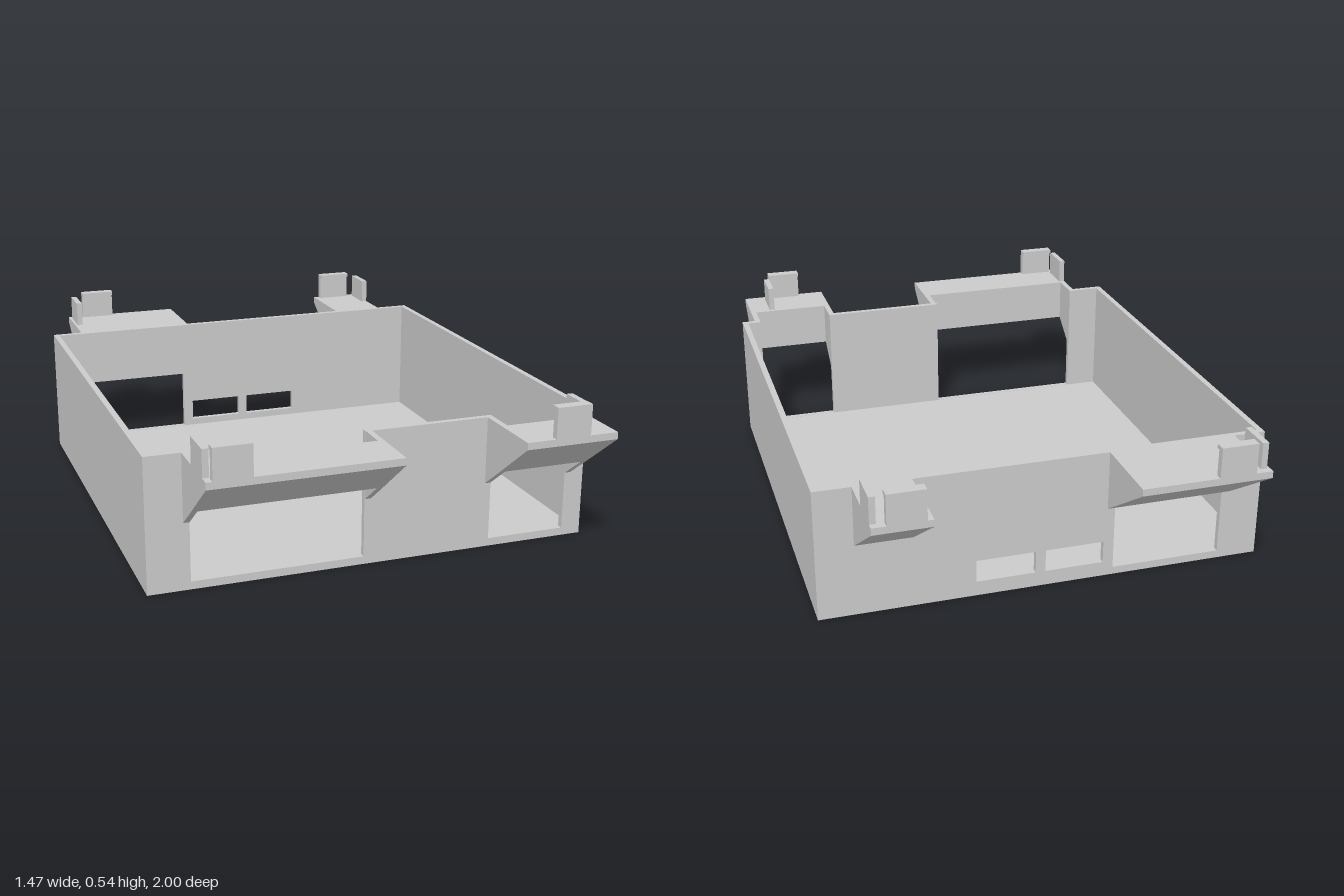
import * as THREE from 'three';

const W = 0.737, H = 0.443, T = 0.02, FLOOR = 0.025;
const material = new THREE.MeshStandardMaterial({ color: 0xcccccc, flatShading: true });

function add(parent, name, geometry) {
  const mesh = new THREE.Mesh(geometry, material);
  mesh.name = name;
  parent.add(mesh);
  return mesh;
}

// Box given by its limits on each axis
function block(parent, name, x0, x1, y0, y1, z0, z1) {
  const g = new THREE.BoxGeometry(x1 - x0, y1 - y0, z1 - z0);
  g.translate((x0 + x1) / 2, (y0 + y1) / 2, (z0 + z1) / 2);
  return add(parent, name, g);
}

const toShape = (points) => new THREE.Shape(points.map(([a, b]) => new THREE.Vector2(a, b)));

// Profile of [z, y] points swept along x from x0 to x1
function sweepX(parent, name, points, x0, x1) {
  const g = new THREE.ExtrudeGeometry(toShape(points), { depth: x1 - x0, bevelEnabled: false });
  g.rotateY(-Math.PI / 2).translate(x1, 0, 0);
  return add(parent, name, g);
}

// Upright wall from an outline of [x, y] points with rectangular holes
function wall(parent, name, points, holes, z) {
  const shape = toShape(points);
  for (const [x0, x1, y0, y1] of holes) {
    shape.holes.push(new THREE.Path([[x0, y0], [x0, y1], [x1, y1], [x1, y0]]
      .map(([a, b]) => new THREE.Vector2(a, b))));
  }
  const g = new THREE.ExtrudeGeometry(shape, { depth: T, bevelEnabled: false });
  return add(parent, name, g.translate(0, 0, z));
}

// Hooked tab at the end of a bracket; side is +1 at the front, -1 at the back
function hookTab(parent, side, x0, x1) {
  const profile = [[1, H], [1, 0.543], [0.965, 0.543], [0.965, 0.53], [0.977, 0.53], [0.977, H]];
  sweepX(parent, 'hookTab', profile.map(([z, y]) => [z * side, y]), x0, x1);
}

export function createModel() {
  const model = new THREE.Group();
  model.name = 'openTray';

  // Tray: floor and side walls
  block(model, 'floor', -W, W, 0, FLOOR, -W, W);
  for (const s of [-1, 1]) {
    const x = s * (W - T / 2);
    block(model, s > 0 ? 'leftWall' : 'rightWall', x - T / 2, x + T / 2, FLOOR, H, -W, W);
  }

  // Front wall, notched from floor to rim behind each bracket
  const e = W - T;
  wall(model, 'frontWall', [
    [-e, FLOOR], [e, FLOOR], [e, H], [0.67, H], [0.67, FLOOR + 0.001], [0.4, FLOOR + 0.001], [0.4, H],
    [-0.037, H], [-0.037, FLOOR + 0.001], [-0.6, FLOOR + 0.001], [-0.6, H], [-e, H],
  ], [], W - T);

  // Back wall with a large window and two slots
  wall(model, 'backWall', [[-e, FLOOR], [e, FLOOR], [e, H], [-e, H]], [
    [-0.6, -0.23, FLOOR + 0.001, 0.243],
    [-0.195, 0.0, 0.05, 0.125],
    [0.033, 0.23, 0.05, 0.125],
  ], -W);

  // Front brackets: two cheeks carrying a sloped ledge, open towards the tray
  const slopeY = 0.22, zMid = 0.83, yMid = 0.29;
  const cheek = [[W, slopeY], [zMid, yMid], [zMid, H], [W, H]];
  const ledge = [[zMid, yMid], [1, 0.42], [1, H], [zMid, H]];
  for (const [x0, x1] of [[-0.62, -0.015], [0.38, 0.69]]) {
    const bracket = new THREE.Group();
    bracket.name = 'frontBracket';
    model.add(bracket);
    sweepX(bracket, 'cheek', cheek, x0, x0 + T);
    sweepX(bracket, 'cheek', cheek, x1 - T, x1);
    sweepX(bracket, 'ledge', ledge, x0, x1);
  }

  // Back brackets: solid wedges
  for (const [x0, x1] of [[-0.63, -0.205], [0.43, 0.615]]) {
    sweepX(model, 'backBracket', [[-W, 0.243], [-1, 0.42], [-1, H], [-W, H]], x0, x1);
  }

  // Corner holders: a side tab and a hooked end tab on each bracket
  for (const s of [-1, 1]) {
    const x0 = s > 0 ? 0.595 : -0.62;
    block(model, 'sideTab', x0, x0 + T, H, 0.53, 0.845, 0.965);
    block(model, 'sideTab', x0, x0 + T, H, 0.53, -0.977, -0.86);
    hookTab(model, 1, s > 0 ? 0.477 : -0.6, s > 0 ? 0.595 : -0.48);
    hookTab(model, -1, s > 0 ? 0.45 : -0.575, s > 0 ? 0.57 : -0.455);
  }
  return model;
}
